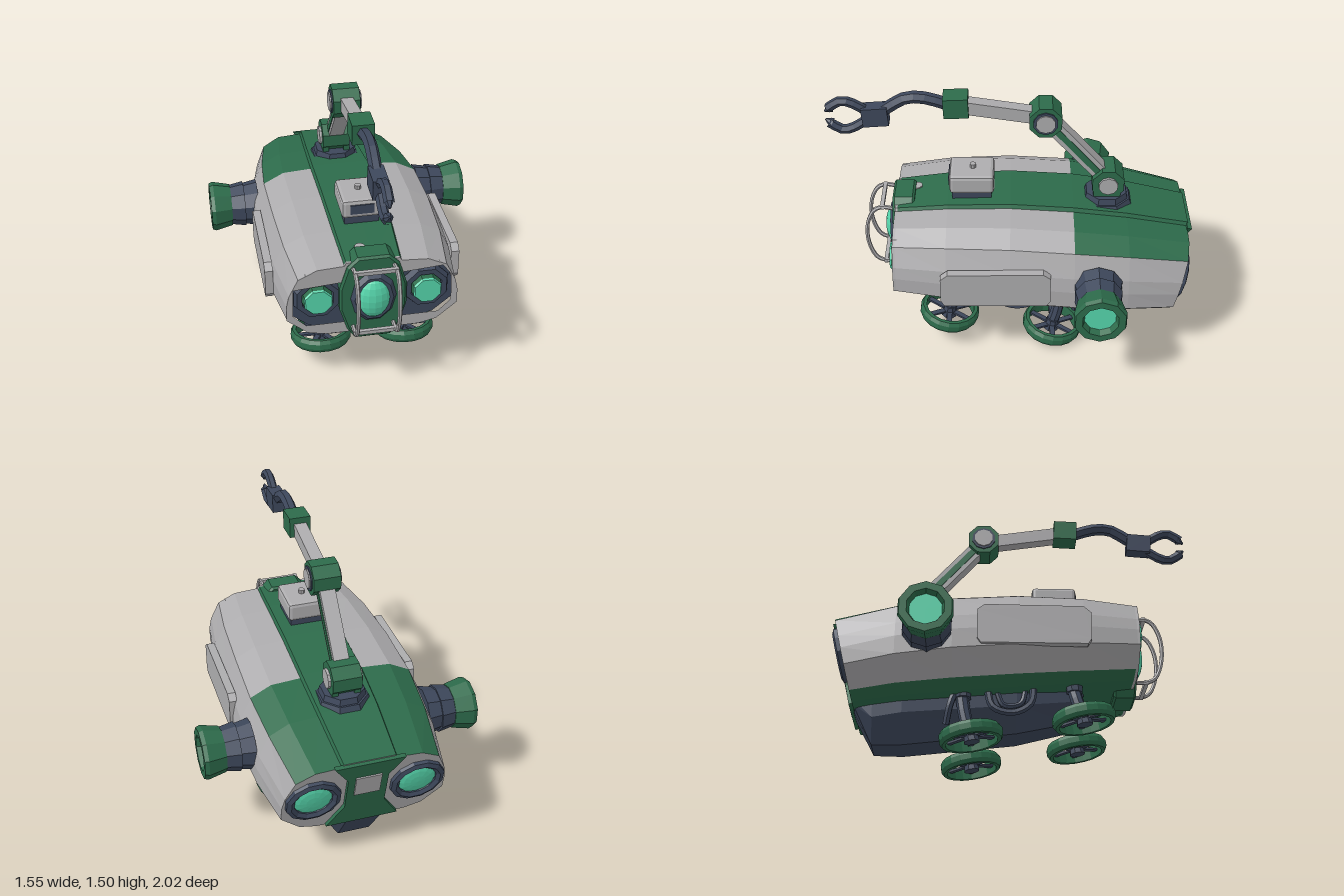
import * as THREE from 'three';
import { RoundedBoxGeometry } from 'three/addons/geometries/RoundedBoxGeometry.js';

const paint = (name, color) => Object.assign(new THREE.MeshStandardMaterial({ color, flatShading: true }), { name });
const V = (x, y, z) => new THREE.Vector3(x, y, z);
const UP = V(0, 1, 0);

export function createModel() {
  const model = new THREE.Group();
  model.name = 'explorerSubmarine';
  const green = paint('green', 0x2d6b4b), light = paint('lightGrey', 0xadacae);
  const dark = paint('slate', 0x3d475b), teal = paint('tealGlass', 0x56d6ac);

  const add = (name, geo, mat, pos = [0, 0, 0], parent = model) => {
    const m = new THREE.Mesh(geo, mat);
    m.name = name;
    m.position.set(...pos);
    parent.add(m);
    return m;
  };
  const group = (name, pos, dir = UP, parent = model) => {
    const g = new THREE.Group();
    g.name = name;
    g.position.set(...pos);
    g.quaternion.setFromUnitVectors(UP, dir.clone().normalize());
    parent.add(g);
    return g;
  };
  const box = (w, h, d) => new THREE.BoxGeometry(w, h, d);
  const cyl = (rTop, rBot, h, n = 8) => new THREE.CylinderGeometry(rTop, rBot, h, n).rotateY(Math.PI / n);
  const lathe = (pts, n) => new THREE.LatheGeometry(pts.map(p => new THREE.Vector2(...p)), n).rotateY(Math.PI / n);
  const tube = (pts, r, n = 6, seg = 16) =>
    new THREE.TubeGeometry(new THREE.CatmullRomCurve3(pts.map(p => V(...p))), seg, r, n);
  const poly = pts => new THREE.Shape(pts.map(p => new THREE.Vector2(...p)));
  const mirrored = half => [...half, ...half.slice().reverse().map(([x, y]) => [-x, y])];
  const extrude = (shape, depth, bevel = 0) => new THREE.ExtrudeGeometry(shape, {
    depth, bevelEnabled: bevel > 0, bevelSize: bevel, bevelThickness: bevel, bevelSegments: 1 });
  // Bar running from a to b in the middle plane
  const bar = (name, a, b, w, h, mat) => {
    const from = V(...a), to = V(...b);
    const m = add(name, box(w, h, from.distanceTo(to)), mat, from.clone().lerp(to, 0.5).toArray());
    m.quaternion.setFromUnitVectors(V(0, 0, 1), to.sub(from).normalize());
    return m;
  };

  // Loft of a mirrored half profile through stations [z, halfWidth, top, bottom]
  function loft(name, profile, stations, colourOf, shear = 0) {
    const half = profile.length - 1, n = half * 2;
    const ring = [...profile, ...profile.slice(1, -1).reverse().map(([u, t]) => [-u, t])];
    const last = stations.length - 1;
    const rows = stations.map(([z, w, top, bot], s) => ring.map(([u, t]) => {
      const y = bot + t * (top - bot);
      return [u * w, y, z + (s === last ? shear * (top - y) : 0)];
    }));
    const tris = new Map();
    const put = (mat, ...pts) => tris.set(mat, [...(tris.get(mat) || []), ...pts.flat()]);
    for (let s = 0; s < last; s++) for (let i = 0; i < n; i++) {
      const j = (i + 1) % n, mat = colourOf(i < half ? i : n - 1 - i, s);
      put(mat, rows[s][i], rows[s][j], rows[s + 1][j], rows[s][i], rows[s + 1][j], rows[s + 1][i]);
    }
    const end = rows[last], mid = [0, 1, 2].map(k => (end[0][k] + end[half][k]) / 2);
    for (let i = 0; i < n; i++) put(colourOf(5, last), mid, end[i], end[(i + 1) % n]);
    for (const [mat, pos] of tris) {
      const g = new THREE.BufferGeometry();
      g.setAttribute('position', new THREE.Float32BufferAttribute(pos, 3));
      g.computeVertexNormals();
      add(name, g, mat);
    }
    return rows;
  }

  // Hull with a green spine, green rear deck and green underside
  const hullRows = loft('hull',
    [[0, 1], [0.31, 1], [0.33, 0.96], [0.64, 0.94], [0.86, 0.83], [0.97, 0.6], [1, 0.45], [1, 0.26], [0.76, 0.05], [0.55, 0], [0, 0]],
    [[0.63, 0.465, 0.84, 0.39], [0.35, 0.505, 0.87, 0.36], [0, 0.525, 0.88, 0.33], [-0.35, 0.53, 0.858, 0.3],
      [-0.65, 0.505, 0.815, 0.275], [-1, 0.45, 0.74, 0.25]],
    (k, s) => (k < 2 || k > 7 || (k < 4 && s > 2) ? green : light), 0.24);

  // Keel
  loft('keel', [[0, 1], [1, 1], [0.95, 0.45], [0.5, 0], [0, 0]],
    [[0.37, 0.15, 0.42, 0.35], [0.3, 0.16, 0.42, 0.2], [0, 0.2, 0.42, 0.13], [-0.62, 0.2, 0.4, 0.06],
      [-0.78, 0.18, 0.35, 0.06], [-0.885, 0.15, 0.3, 0.25]], () => dark);

  // Nose: pale frame around a dark recess
  const outline = hullRows[0].map(([x, y]) => [x, y]);
  const frame = poly(outline);
  frame.holes.push(new THREE.Path(mirrored([[0.36, 0.785], [0.425, 0.7], [0.43, 0.53], [0.36, 0.46]])
    .map(p => new THREE.Vector2(...p))));
  add('noseFrame', extrude(frame, 0.05), light, [0, 0, 0.595]);
  add('noseRecess', extrude(poly(outline.map(([x, y]) => [x * 0.97, 0.61 + (y - 0.61) * 0.95])), 0.03), dark, [0, 0, 0.56]);
  const podOutline = mirrored([[0.08, 0.86], [0.13, 0.81], [0.17, 0.68], [0.17, 0.55], [0.13, 0.42], [0.09, 0.36]]);
  add('centrePod', extrude(poly(podOutline), 0.1, 0.012), green, [0, 0, 0.55]);
  const bezel = add('centreBezel', cyl(0.105, 0.13, 0.03, 10).rotateX(Math.PI / 2), dark, [0, 0.62, 0.67]);
  bezel.scale.y = 1.28;
  const dome = add('centreWindow', new THREE.SphereGeometry(1, 16, 10), teal, [0, 0.62, 0.66]);
  dome.scale.set(0.093, 0.13, 0.06);

  for (const s of [1, -1]) {
    // Nose lamps
    const lamp = group('noseLamp', [s * 0.295, 0.62, 0.6], V(0, 0, 1));
    add('lampRing', lathe([[0.09, 0], [0.135, 0], [0.12, 0.035], [0.09, 0.035], [0.09, 0]], 8), dark, [0, 0, 0], lamp);
    add('lampHousing', cyl(0.078, 0.09, 0.07), green, [0, 0.025, 0], lamp);
    add('lampGlass', cyl(0.075, 0.082, 0.009), teal, [0, 0.064, 0], lamp);

    // Guard rail hoops
    add('guardRail', tube([[0, 0.8, 0.62], [0, 0.82, 0.72], [0, 0.8, 0.765], [0, 0.7, 0.81], [0, 0.56, 0.81],
      [0, 0.46, 0.77], [0, 0.435, 0.72], [0, 0.435, 0.64]], 0.012, 6, 28), light, [s * 0.11, 0, 0]);

    // Side hatch panel
    const panel = poly([[-0.2, 0.47], [0.36, 0.47], [0.38, 0.5], [0.38, 0.65], [0.34, 0.685], [-0.18, 0.69], [-0.22, 0.66], [-0.22, 0.5]]);
    add('sidePanel', extrude(panel, 0.045), light, [s > 0 ? 0.545 : -0.5, 0, 0]).rotation.y = -Math.PI / 2;

    // Side thrusters
    const pod = group('sideThruster', [s * 0.48, 0.56, -0.48], V(s, 0, 0));
    add('thrusterMount', cyl(0.12, 0.14, 0.1, 10), dark, [0, 0.06, 0], pod);
    add('thrusterCollar', cyl(0.12, 0.135, 0.08, 10), dark, [0, 0.13, 0], pod);
    add('thrusterNeck', cyl(0.1, 0.1, 0.06, 10), dark, [0, 0.18, 0], pod);
    add('thrusterShroud', lathe([[0.08, 0.17], [0.125, 0.17], [0.148, 0.27], [0.14, 0.293], [0.1, 0.293], [0.085, 0.25], [0.08, 0.17]], 10), green, [0, 0, 0], pod);
    add('thrusterGlow', cyl(0.09, 0.09, 0.01, 10), teal, [0, 0.252, 0], pod);

    // Rear engines, square to the raked stern
    const engine = group('rearEngine', [s * 0.285, 0.5, -0.942], V(0, -0.24, -1));
    add('engineRing', lathe([[0.105, -0.03], [0.155, -0.03], [0.15, 0.02], [0.125, 0.03], [0.105, 0.015], [0.105, -0.03]], 12), dark, [0, 0, 0], engine);
    const glow = add('engineGlow', new THREE.SphereGeometry(0.11, 12, 8), teal, [0, 0, 0], engine);
    glow.scale.y = 0.22;

    // Ducted lift fans on struts
    for (const [z, y, top] of [[0.355, 0.168, 0.4], [-0.245, 0.063, 0.36]]) {
      const fan = group('liftFan', [s * 0.24, y, z]);
      fan.rotation.x = -0.16;
      add('fanRing', lathe([[0.14, -0.036], [0.16, -0.036], [0.172, -0.015], [0.172, 0.015], [0.16, 0.036], [0.14, 0.036], [0.14, -0.036]], 18), green, [0, 0, 0], fan);
      add('fanHub', cyl(0.035, 0.045, 0.07), dark, [0, 0, 0], fan);
      for (let i = 0; i < 6; i++) {
        const blade = add('fanSpoke', box(0.12, 0.012, 0.03).translate(0.085, 0, 0), dark, [0, 0, 0], fan);
        blade.rotation.y = i * Math.PI / 3;
      }
      add('fanStrut', tube([[s * 0.235, y, z], [s * 0.225, y + 0.1, z - 0.03], [s * 0.2, top, z - 0.06]], 0.035, 8, 4), dark);
      add('strutCuff', cyl(0.046, 0.046, 0.05), dark, [s * 0.215, top - 0.05, z - 0.045]);
    }

    // Underside hoses
    add('largeHose', tube([[s * 0.22, 0.36, 0.09], [s * 0.24, 0.25, 0.07], [s * 0.24, 0.2, -0.02], [s * 0.24, 0.23, -0.13], [s * 0.22, 0.34, -0.16]], 0.02), dark);
    add('smallHose', tube([[s * 0.2, 0.36, 0.05], [s * 0.21, 0.26, 0.02], [s * 0.21, 0.25, -0.07], [s * 0.2, 0.34, -0.11]], 0.016), dark);
    add('rearHose', tube([[s * 0.22, 0.33, -0.33], [s * 0.23, 0.24, -0.36], [s * 0.2, 0.14, -0.38]], 0.02), dark);
  }
  for (const [y, z] of [[0.82, 0.72], [0.435, 0.72]]) add('guardCrossbar', box(0.24, 0.022, 0.022), light, [0, y, z]);

  // Stern spine and plate
  const stern = group('stern', [0, 0.5, -0.942]);
  stern.rotation.x = -Math.atan(0.24);
  add('sternSpine', extrude(poly(mirrored([[0.19, 0.24], [0.11, 0.12], [0.11, -0.1], [0.2, -0.25]])), 0.025), green, [0, 0, -0.02], stern);
  add('sternPlate', box(0.14, 0.14, 0.009), light, [0, 0.07, -0.024], stern);

  // Sensor box on the deck
  add('sensorBase', box(0.19, 0.06, 0.22), dark, [0, 0.885, 0.215]);
  add('sensorBox', new RoundedBoxGeometry(0.22, 0.11, 0.25, 1, 0.02), light, [0, 0.965, 0.215]);
  add('sensorWindow', box(0.13, 0.055, 0.008), dark, [0, 0.967, 0.342]);
  add('sensorKnob', cyl(0.018, 0.018, 0.025), light, [0, 1.03, 0.21]);
  add('deckMark', cyl(0.03, 0.03, 0.008), light, [-0.05, 0.853, 0.53]).rotation.x = 0.11;

  // Arm turntable and shoulder
  const S = [0, 0.95, -0.545], E = [0, 1.355, -0.19], W = [0, 1.43, 0.29];
  add('armBase', cyl(0.14, 0.16, 0.05), dark, [0, 0.815, -0.54]);
  add('armTurntable', cyl(0.12, 0.13, 0.04), dark, [0, 0.855, -0.54]);
  for (const s of [1, -1]) add('shoulderBracket', box(0.035, 0.12, 0.15), green, [s * 0.062, 0.9, -0.54]);
  for (const [name, p, r, w] of [['shoulder', S, 0.095, 0.16], ['elbow', E, 0.095, 0.15]]) {
    add(name + 'Joint', cyl(r, r, w).rotateZ(Math.PI / 2), green, p);
    add(name + 'Cap', cyl(r * 0.57, r * 0.57, w + 0.03, 10).rotateZ(Math.PI / 2), light, p);
    if (name === 'elbow') add('elbowCapRing', cyl(r * 0.72, r * 0.72, w + 0.015, 10).rotateZ(Math.PI / 2), dark, p);
  }

  // Arm links
  bar('upperArm', S, E, 0.085, 0.085, light);
  bar('upperArmInset', S, E, 0.094, 0.035, green);
  bar('forearm', E, W, 0.07, 0.075, light);
  bar('wristCuff', [0, 1.435, 0.225], [0, 1.43, 0.36], 0.12, 0.115, green);

  // Curved wrist, hand and pincers
  add('wrist', tube([[0, 1.435, 0.35], [0, 1.47, 0.46], [0, 1.47, 0.56], [0, 1.41, 0.66], [0, 1.37, 0.72]], 0.034, 6, 7), dark);
  bar('hand', [0, 1.37, 0.66], [0, 1.36, 0.8], 0.08, 0.11, dark);
  for (const s of [1, -1]) {
    add('pincer', tube([[0, 1.36 + s * 0.03, 0.78], [0, 1.36 + s * 0.075, 0.85], [0, 1.36 + s * 0.09, 0.91], [0, 1.36 + s * 0.045, 0.985]], 0.027, 6, 6), dark);
    add('pincerTip', cyl(0.005, 0.027, 0.04, 6).rotateX(Math.PI / 2 + s * 0.6), dark, [0, 1.36 + s * 0.036, 0.985]);
  }
  return model;
}
